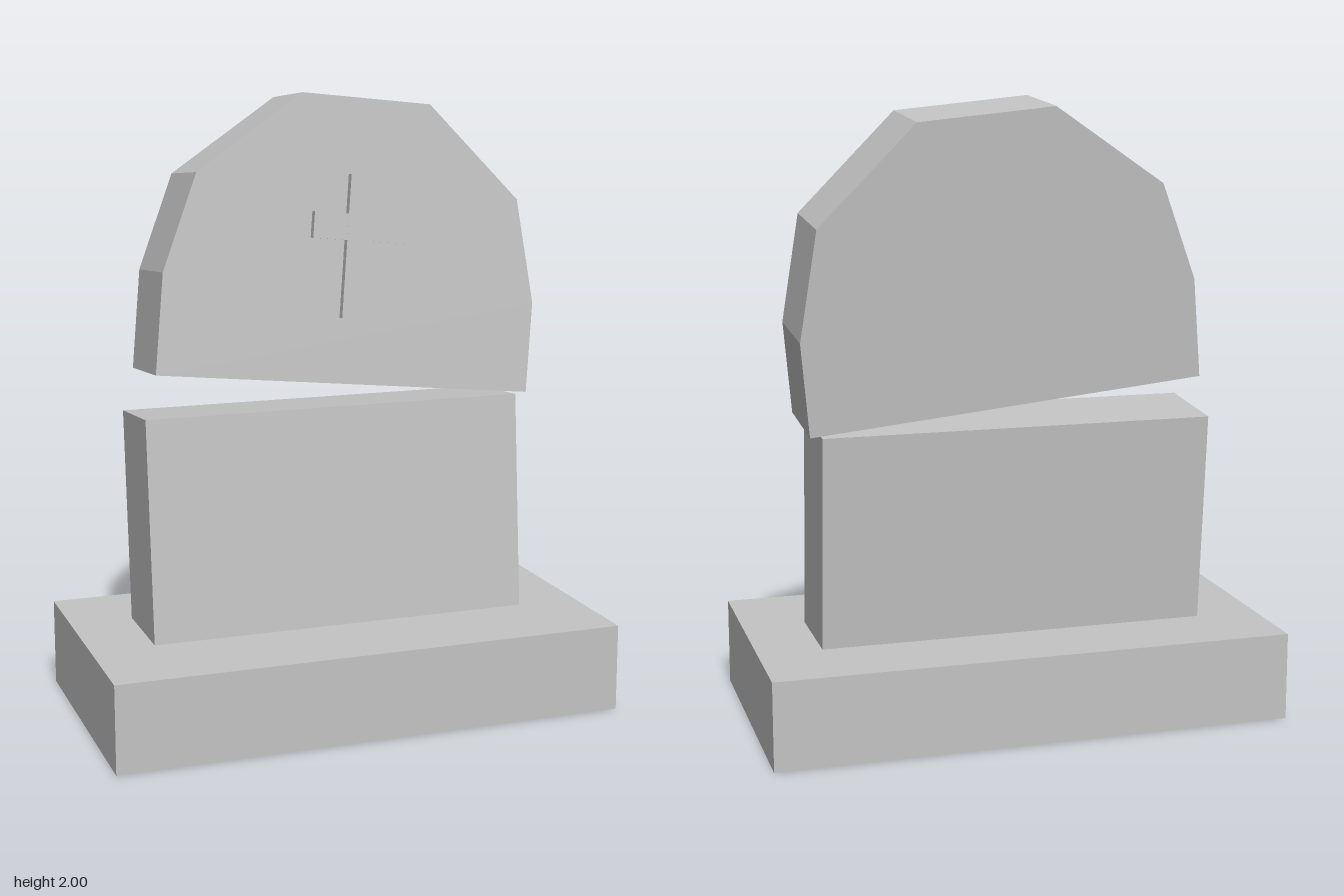
import * as THREE from 'three';

export function createModel() {
  const root = new THREE.Group();
  root.name = 'brokenGravestone';
  const stone = new THREE.MeshStandardMaterial({ color: 0xc4c4c4 });
  stone.name = 'grey stone';

  const TILT = 0.0873, BASE_TOP = 0.285, DEPTH = 0.3;

  function box(name, parent, w, h, d, x, y, z) {
    const mesh = new THREE.Mesh(new THREE.BoxGeometry(w, h, d), stone);
    mesh.name = name;
    mesh.position.set(x, y, z);
    parent.add(mesh);
    return mesh;
  }

  // Plinth
  box('base', root, 1.68, BASE_TOP, 0.886, 0, BASE_TOP / 2, 0);

  // Both slabs lean back together; z = 0 here is their front face
  const slab = new THREE.Group();
  slab.name = 'leaningSlab';
  slab.position.set(0, BASE_TOP, 0.126);
  slab.rotation.x = -TILT;
  root.add(slab);
  const localY = (y) => (y - BASE_TOP) / Math.cos(TILT);

  // Lower half, sunk slightly into the plinth
  const top = localY(1.0), sunk = -0.03;
  box('lowerSlab', slab, 1.268, top - sunk, DEPTH, 0, (top + sunk) / 2, -DEPTH / 2);

  // Broken-off upper half, twisted to one side
  const outline = [
    [-0.595, 1.137], [0.672, 1.004], [0.702, 1.30], [0.652, 1.643],
    [0.35, 1.956], [-0.083, 2.0], [-0.44, 1.76], [-0.56, 1.455],
  ].map(([x, y]) => new THREE.Vector2(x, localY(y)));
  const headGeometry = new THREE.ExtrudeGeometry(new THREE.Shape(outline), { depth: DEPTH, bevelEnabled: false });
  headGeometry.translate(0, 0, -DEPTH);
  const head = new THREE.Mesh(headGeometry, stone);
  head.name = 'upperSlab';
  slab.add(head);

  // Raised cross, twisted with the upper half
  const cross = new THREE.Group();
  cross.name = 'cross';
  cross.position.set(0.091, localY(1.57), 0.01);
  cross.rotation.z = -0.1;
  slab.add(cross);
  box('crossUpright', cross, 0.088, 0.46, 0.032, 0, -0.062, 0);
  box('crossBar', cross, 0.318, 0.084, 0.031, 0, 0, 0);

  return root;
}
